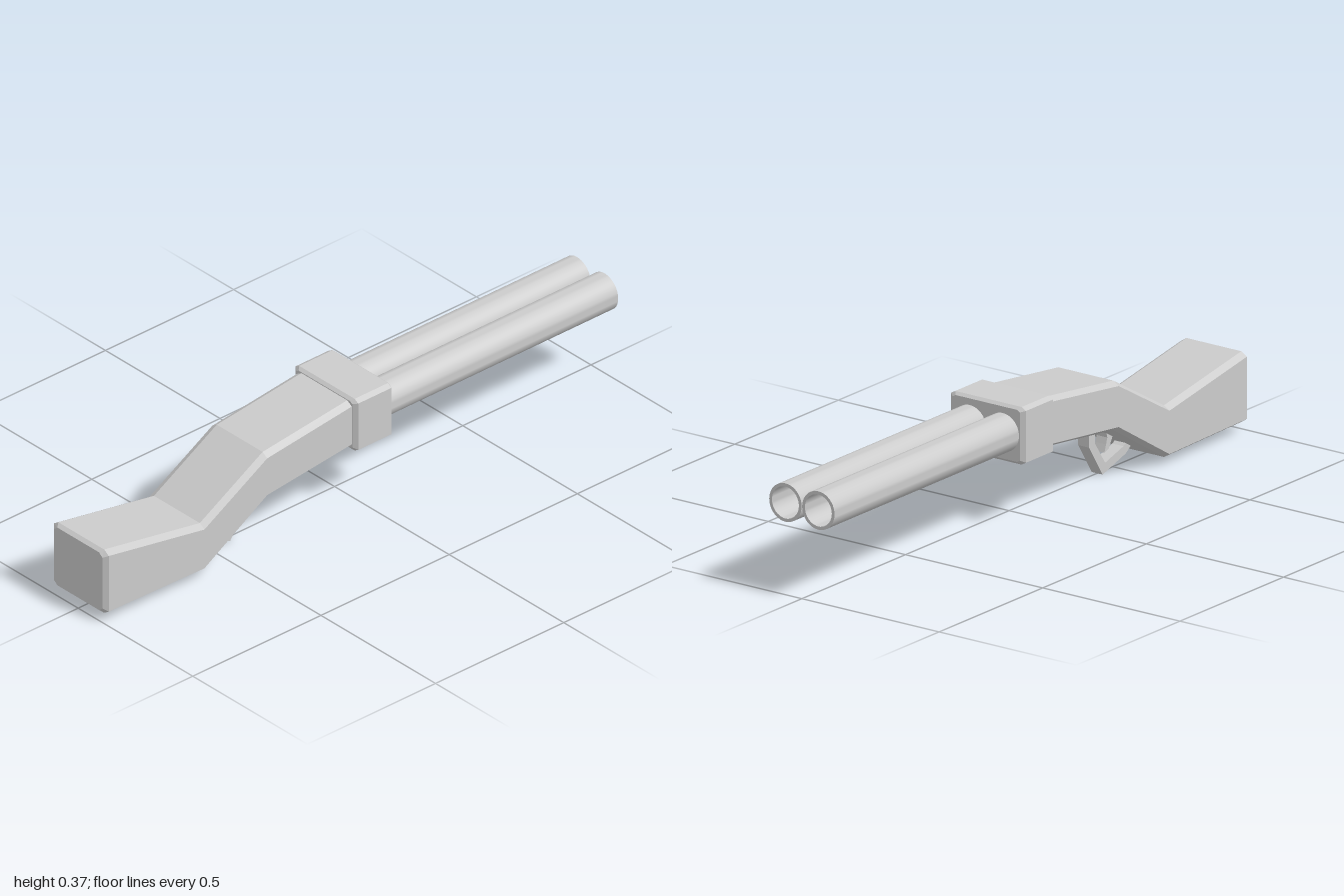
import * as THREE from 'three';
import { toCreasedNormals } from 'three/addons/utils/BufferGeometryUtils.js';

const material = new THREE.MeshStandardMaterial({ color: 0xcccccc });
const flat = new THREE.MeshStandardMaterial({ color: 0xcccccc, flatShading: true });

function addMesh(group, name, geometry, mat) {
  const mesh = new THREE.Mesh(geometry, mat);
  mesh.name = name;
  group.add(mesh);
  return mesh;
}

// Chamfered rectangle in the y-z plane at x, counterclockwise seen from +x
function ring([x, bottom, top, half, cy, cz]) {
  return [
    [bottom + cy, -half], [top - cy, -half], [top, cz - half], [top, half - cz],
    [top - cy, half], [bottom + cy, half], [bottom, half - cz], [bottom, cz - half],
  ].map(([y, z]) => [x, y, z]);
}

// Closed solid through a row of chamfered sections along x
function loft(sections) {
  const rings = sections.map(ring);
  const n = rings[0].length;
  const pos = [];
  const tri = (a, b, c) => pos.push(...a, ...b, ...c);
  for (let i = 0; i < rings.length - 1; i++) {
    const a = rings[i], b = rings[i + 1];
    for (let j = 0; j < n; j++) {
      const k = (j + 1) % n;
      tri(a[j], a[k], b[j]);
      tri(a[k], b[k], b[j]);
    }
  }
  const first = rings[0], last = rings[rings.length - 1];
  for (let j = 1; j < n - 1; j++) {
    tri(first[0], first[j + 1], first[j]);
    tri(last[0], last[j], last[j + 1]);
  }
  const geometry = new THREE.BufferGeometry();
  geometry.setAttribute('position', new THREE.Float32BufferAttribute(pos, 3));
  geometry.computeVertexNormals();
  return geometry;
}

// Side outline extruded between two z values
function plate(points, z0, z1) {
  const shape = new THREE.Shape(points.map(([x, y]) => new THREE.Vector2(x, y)));
  const geometry = new THREE.ExtrudeGeometry(shape, { depth: z1 - z0, bevelEnabled: false });
  return geometry.translate(0, 0, z0);
}

export function createModel() {
  const group = new THREE.Group();
  group.name = 'doubleBarrel';

  // Bent wooden stock: x, bottom, top, half width, chamfer y, chamfer z
  addMesh(group, 'stock', loft([
    [-1, 0.036, 0.234, 0.106, 0.012, 0.015],
    [-0.988, 0.026, 0.243, 0.12, 0.013, 0.02],
    [-0.615, 0.019, 0.178, 0.12, 0.013, 0.02],
    [-0.37, 0.168, 0.32, 0.12, 0.013, 0.02],
    [0, 0.21, 0.364, 0.12, 0.012, 0.02],
  ]), flat);

  // Receiver block
  addMesh(group, 'receiver', loft([
    [-0.04, 0.202, 0.362, 0.122, 0.006, 0.01],
    [-0.03, 0.193, 0.37, 0.137, 0.009, 0.016],
    [0.1, 0.193, 0.37, 0.137, 0.009, 0.016],
    [0.11, 0.202, 0.362, 0.122, 0.006, 0.01],
  ]), flat);

  // Hollow barrels side by side
  const profile = [[0.059, 0.1], [0.059, 1], [0.049, 1], [0.049, 0.1]]
    .map(([r, y]) => new THREE.Vector2(r, y));
  const tube = toCreasedNormals(new THREE.LatheGeometry(profile, 40), 0.6);
  tube.rotateZ(-Math.PI / 2);
  for (const side of [-1, 1]) {
    const barrel = addMesh(group, side > 0 ? 'frontBarrel' : 'backBarrel', tube, material);
    barrel.position.set(0, 0.283, side * 0.06);
  }

  // Trigger guard: outer path, then back along the inner path
  addMesh(group, 'triggerGuard', plate([
    [-0.59, 0.075], [-0.537, 0.035], [-0.425, 0], [-0.36, 0.1], [-0.36, 0.19],
    [-0.387, 0.18], [-0.387, 0.107], [-0.437, 0.033], [-0.525, 0.06], [-0.56, 0.085],
  ], -0.02, 0.02), flat);

  // Curved trigger
  addMesh(group, 'trigger', plate([
    [-0.49, 0.13], [-0.478, 0.1], [-0.462, 0.07], [-0.44, 0.062],
    [-0.448, 0.085], [-0.454, 0.105], [-0.445, 0.14],
  ], -0.015, 0.024), flat);

  return group;
}
